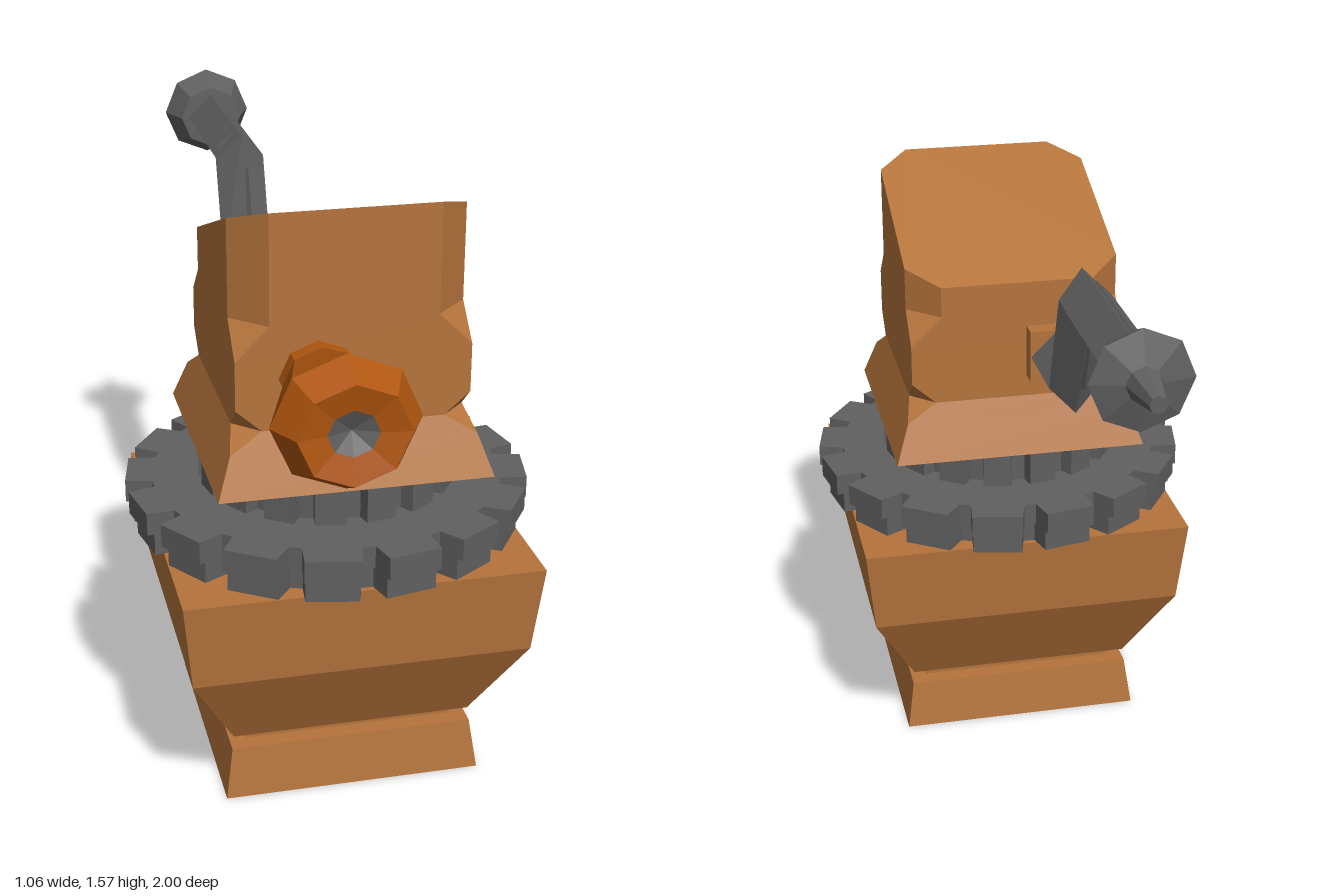
import * as THREE from 'three';

const mat = (color) => new THREE.MeshStandardMaterial({ color, flatShading: true });
const BODY_Z = 0.34; // vertical axis of the body
const ARM_X = -0.095, ARM_Y = 1.155; // axis of handle and crank

// Skin through equal-length rings of Vector3, closed at both ends
function loft(rings) {
  const pos = [];
  const tri = (a, b, c) => {
    const area = b.clone().sub(a).cross(c.clone().sub(a)).length();
    if (area > 1e-7) for (const p of [a, b, c]) pos.push(p.x, p.y, p.z);
  };
  const n = rings[0].length;
  for (let r = 0; r < rings.length - 1; r++) {
    for (let i = 0; i < n; i++) {
      const j = (i + 1) % n, lo = rings[r], hi = rings[r + 1];
      tri(lo[i], lo[j], hi[j]);
      tri(lo[i], hi[j], hi[i]);
    }
  }
  const first = rings[0], last = rings[rings.length - 1];
  for (let i = 1; i < n - 1; i++) {
    tri(first[0], first[i + 1], first[i]);
    tri(last[0], last[i], last[i + 1]);
  }
  const g = new THREE.BufferGeometry();
  g.setAttribute('position', new THREE.Float32BufferAttribute(pos, 3));
  g.computeVertexNormals();
  return g;
}

// Square ring of half width h with corners cut by c; y is a rule of z
function squareRing(h, c, y) {
  const k = h - c;
  const pts = [[k, h], [h, k], [h, -k], [k, -h], [-k, -h], [-h, -k], [-h, k], [-k, h]];
  return pts.map(([x, z]) => new THREE.Vector3(x, typeof y === 'function' ? y(z) : y, z + BODY_Z));
}

// Toothed disc with a flat-bottomed notch between neighbouring teeth
function gear(outer, inner, y, height, cutTop, cutFloor) {
  const teeth = 16, step = (Math.PI * 2) / teeth, shape = new THREE.Shape();
  for (let i = 0; i < teeth; i++) {
    const a = i * step, b = a + step;
    const pts = [[inner, a + cutFloor], [outer, a + cutTop], [outer, b - cutTop], [inner, b - cutFloor]];
    pts.forEach(([r, t], k) => {
      const x = r * Math.cos(t), v = r * Math.sin(t);
      if (i + k === 0) shape.moveTo(x, v); else shape.lineTo(x, v);
    });
  }
  shape.closePath();
  const g = new THREE.ExtrudeGeometry(shape, { depth: height, bevelEnabled: false });
  return g.rotateX(-Math.PI / 2).translate(0, y, BODY_Z);
}

const lathe = (profile) =>
  new THREE.LatheGeometry(profile.map(([r, h]) => new THREE.Vector2(r, h)), 8);

export function createModel() {
  const model = new THREE.Group();
  const clay = mat(0xb5743c), orange = mat(0xb0560f), grey = mat(0x606060);
  const add = (name, geometry, material, parent = model) => {
    const m = new THREE.Mesh(geometry, material);
    m.name = name;
    parent.add(m);
    return m;
  };

  // Square pedestal and flared bowl
  const base = [[0.34, 0], [0.32, 0.137], [0.275, 0.137], [0.275, 0.172],
    [0.315, 0.172], [0.437, 0.41], [0.46, 0.645]];
  add('base', loft(base.map(([h, y]) => squareRing(h, 0, y))), clay);

  // Turntable gears
  add('lowerGear', gear(0.51, 0.445, 0.645, 0.06, 0.065, 0.035), grey);
  add('upperGear', gear(0.53, 0.46, 0.705, 0.06, 0.065, 0.035), grey);
  add('hubGear', gear(0.338, 0.3, 0.765, 0.1, 0.08, 0.06), grey);

  // Head: skirt, notched waist, cut corners and a roof sloping to the back
  const front = (f, b) => (z) => (z > 0 ? f : b);
  add('head', loft([
    squareRing(0.35, 0, 0.865),
    squareRing(0.313, 0, 0.97),
    squareRing(0.295, 0.065, 1.022),
    squareRing(0.295, 0, 1.08),
    squareRing(0.295, 0, front(1.205, 1.19)),
    squareRing(0.295, 0.085, front(1.29, 1.27)),
    squareRing(0.295, 0.085, (z) => 1.57 + (z - 0.295) * 0.366),
  ]), clay);

  // Front handle with a dished end and a grey socket
  const handle = new THREE.Group();
  handle.name = 'handle';
  handle.position.set(-0.09, ARM_Y, 0);
  handle.rotation.x = Math.PI / 2;
  handle.scale.z = 0.93;
  model.add(handle);
  add('handleGrip', lathe([[0, 0.6], [0.098, 0.6], [0.098, 0.68], [0.18, 0.915],
    [0.135, 1], [0.062, 0.985]]), orange, handle);
  add('handleSocket', lathe([[0.062, 0.985], [0, 0.96]]), grey, handle);

  // Mounting plate at the back
  const plate = add('crankPlate', new THREE.BoxGeometry(0.14, 0.145, 0.07), clay);
  plate.position.set(ARM_X, ARM_Y, 0.03);

  // Diamond-section crank arm: centre y, z, then the upper edge's offset y, z
  const crank = new THREE.Group();
  crank.name = 'crank';
  model.add(crank);
  const path = [[1.155, 0.02, 0.068, 0], [1.155, -0.222, 0.068, 0.022],
    [1.437, -0.325, 0.068, 0.04], [1.437, -0.79, 0.068, 0]];
  add('crankArm', loft(path.map(([y, z, oy, oz]) => [
    new THREE.Vector3(ARM_X + 0.068, y, z),
    new THREE.Vector3(ARM_X, y - oy, z - oz),
    new THREE.Vector3(ARM_X - 0.068, y, z),
    new THREE.Vector3(ARM_X, y + oy, z + oz),
  ])), grey, crank);

  // Raised strips on two opposite faces of each outer arm length
  function strips(y, z, dir, up, length, nx, nu, sign) {
    for (const s of [1, -1]) {
      const normal = new THREE.Vector3(nx * s * sign, 0, 0).addScaledVector(up, nu * s).normalize();
      const side = new THREE.Vector3().crossVectors(normal, dir);
      const strip = add('armStrip', new THREE.BoxGeometry(0.055, 0.02, length), grey, crank);
      strip.applyMatrix4(new THREE.Matrix4().makeBasis(side, normal, dir));
      strip.position.set(ARM_X, y, z).addScaledVector(normal, 0.045);
    }
  }
  const rise = new THREE.Vector3(0, 0.28, -0.1).normalize();
  const riseUp = new THREE.Vector3(0, 0.1, 0.28).normalize();
  strips(1.296, -0.273, rise, riseUp, 0.22, 0.6, 0.8, 1);
  strips(1.437, -0.56, new THREE.Vector3(0, 0, -1), new THREE.Vector3(0, 1, 0), 0.4, 1, 1, -1);

  // Flared collar and spike at the end of the crank
  const tip = add('crankTip', lathe([[0, 0.775], [0.09, 0.778], [0.127, 0.862],
    [0.045, 0.885], [0.022, 1], [0, 1]]), grey, crank);
  tip.rotation.x = -Math.PI / 2;
  tip.position.set(ARM_X, 1.437, 0);

  return model;
}
